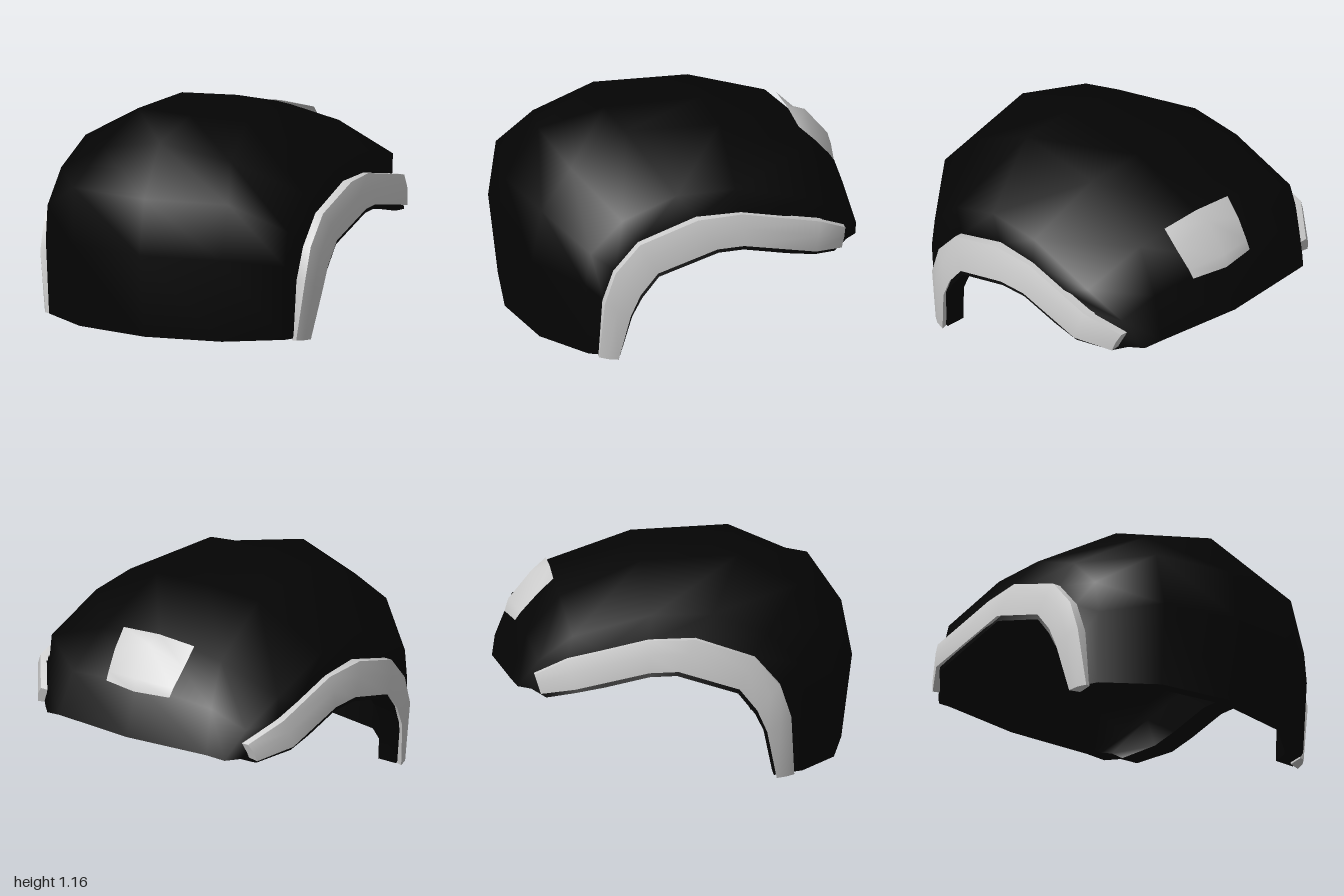
import * as THREE from 'three';
import { toCreasedNormals } from 'three/addons/utils/BufferGeometryUtils.js';

const black = new THREE.MeshStandardMaterial({ color: 0x040404, side: THREE.DoubleSide });
const grey = new THREE.MeshStandardMaterial({ color: 0xcccccc, side: THREE.DoubleSide });

// Skin a grid of points: rows[i][j] = [x, y, z]
function skin(rows, flip = false) {
  const n = rows[0].length;
  const index = [];
  for (let i = 0; i < rows.length - 1; i++) {
    for (let j = 0; j < n - 1; j++) {
      const a = i * n + j, b = a + 1, c = a + n, d = c + 1;
      if (flip) index.push(a, c, b, b, c, d);
      else index.push(a, b, c, b, d, c);
    }
  }
  const g = new THREE.BufferGeometry();
  g.setAttribute('position', new THREE.Float32BufferAttribute(rows.flat(2), 3));
  g.setIndex(index);
  g.computeVertexNormals();
  return g;
}

function part(name, geometry, material) {
  const mesh = new THREE.Mesh(geometry, material);
  mesh.name = name;
  return mesh;
}

// Lengthwise lines of the half shell, front bottom to rear edge, as [x, y, z]
const centre = [[0, .02, .94], [0, .49, 1], [0, .8, .94], [0, 1.08, .75], [0, 1.16, .37],
  [0, 1.16, -.2], [0, 1.03, -.68], [0, .82, -.9], [0, .53, -1]];
const crown = [[.44, .02, .86], [.46, .49, .91], [.48, .8, .86], [.4, 1, .67], [.34, 1.16, .34],
  [.34, 1.14, -.2], [.4, .965, -.66], [.46, .76, -.85], [.49, .52, -.94]];
const shoulder = [[.73, .02, .66], [.74, .44, .68], [.745, .63, .65], [.75, .81, .47], [.755, .93, .16],
  [.755, .93, -.18], [.755, .82, -.62], [.66, .66, -.8], [.59, .5, -.91]];
const ledge = [[.76, .02, .6], [.77, .35, .58], [.78, .53, .52], [.785, .69, .38], [.79, .795, .06],
  [.785, .79, -.2], [.78, .74, -.45], [.77, .69, -.65], [.65, .5, -.84]];
const arch = [[.79, .012, .495], [.845, .27, .44], [.855, .38, .385], [.86, .5, .29], [.87, .61, -.05],
  [.845, .6, -.2], [.84, .545, -.45], [.83, .515, -.61], [.7, .46, -.76]];

// Full rows across the shell, right arch to left arch
function rowsFrom(lines) {
  const mirrored = lines.slice(1).reverse().map(l => l.map(([x, y, z]) => [-x, y, z]));
  const all = [...mirrored, ...lines];
  return lines[0].map((_, i) => all.map(l => l[i]));
}

// Walk around the border of a grid
function border(rows) {
  const last = rows.length - 1, n = rows[0].length - 1;
  return [...rows[0], ...rows.slice(1).map(r => r[n]),
    ...rows[last].slice(0, n).reverse(), ...rows.slice(0, last).reverse().map(r => r[0])];
}

// Inner lining: pulled in from the outside, flush along the arch and bottom edges
const inset = line => line.map(([x, y, z], i) => {
  if (line === arch) return [x * .85, y, z];
  const edge = i === 0 || i === line.length - 1;
  const k = line === ledge ? .97 : .93;
  return [x * (line === crown ? .98 : .87), edge ? y : y * k, z * k];
});

// Arch trim stations: upper [y, z], lower [y, z], outer x, inner x
const trimStations = [
  [[.01, .61], [0, .5], .815, .75],
  [[.35, .59], [.27, .44], .86, .765],
  [[.53, .53], [.39, .385], .865, .775],
  [[.69, .39], [.51, .29], .87, .78],
  [[.805, .06], [.62, -.05], .88, .785],
  [[.8, -.2], [.61, -.2], .855, .775],
  [[.7, -.65], [.525, -.61], .85, .76],
  [[.59, -.825], [.48, -.79], .73, .64],
];

function trimGeometry(side) {
  const rows = trimStations.map(([[uy, uz], [ly, lz], xo, xi]) => {
    const at = (x, t) => [side * x, uy + (ly - uy) * t, uz + (lz - uz) * t];
    return [at(xi, 0), at(xo - .04, 0), at(xo - .012, .4), at(xo, .92), at(xi, .75), at(xi, 0)];
  });
  // Close both ends by collapsing them to a point
  const cap = row => {
    const m = [0, 1, 2].map(k => row.slice(0, 5).reduce((s, p) => s + p[k], 0) / 5);
    return row.map(() => m);
  };
  const closed = [cap(rows[0]), ...rows, cap(rows[rows.length - 1])];
  return toCreasedNormals(skin(closed, side < 0), .7);
}

export function createModel() {
  const model = new THREE.Group();
  model.name = 'domedShell';

  // Thick open shell
  const lines = [centre, crown, shoulder, ledge, arch];
  const outer = rowsFrom(lines);
  const inner = rowsFrom(lines.map(inset));
  model.add(part('outerShell', skin(outer), black));
  model.add(part('innerLining', skin(inner, true), black));
  const rim = skin([border(outer), border(inner)], true);
  model.add(part('shellRim', toCreasedNormals(rim, .7), black));

  // Arch trims on both sides
  model.add(part('leftArchTrim', trimGeometry(1), grey));
  model.add(part('rightArchTrim', trimGeometry(-1), grey));

  // Raised rear panel: [half width, edge y, edge z, middle y, middle z]
  const panelRows = [
    [.235, 1.02, -.68, 1.035, -.68],
    [.23, .925, -.775, 1.01, -.78],
    [.215, .825, -.86, .85, -.91],
    [.21, .78, -.89, .78, -.93],
  ].map(([w, ey, ez, my, mz]) => [[-w, ey, ez], [0, my, mz], [w, ey, ez]]);
  model.add(part('rearPanel', skin(panelRows), grey));

  return model;
}
